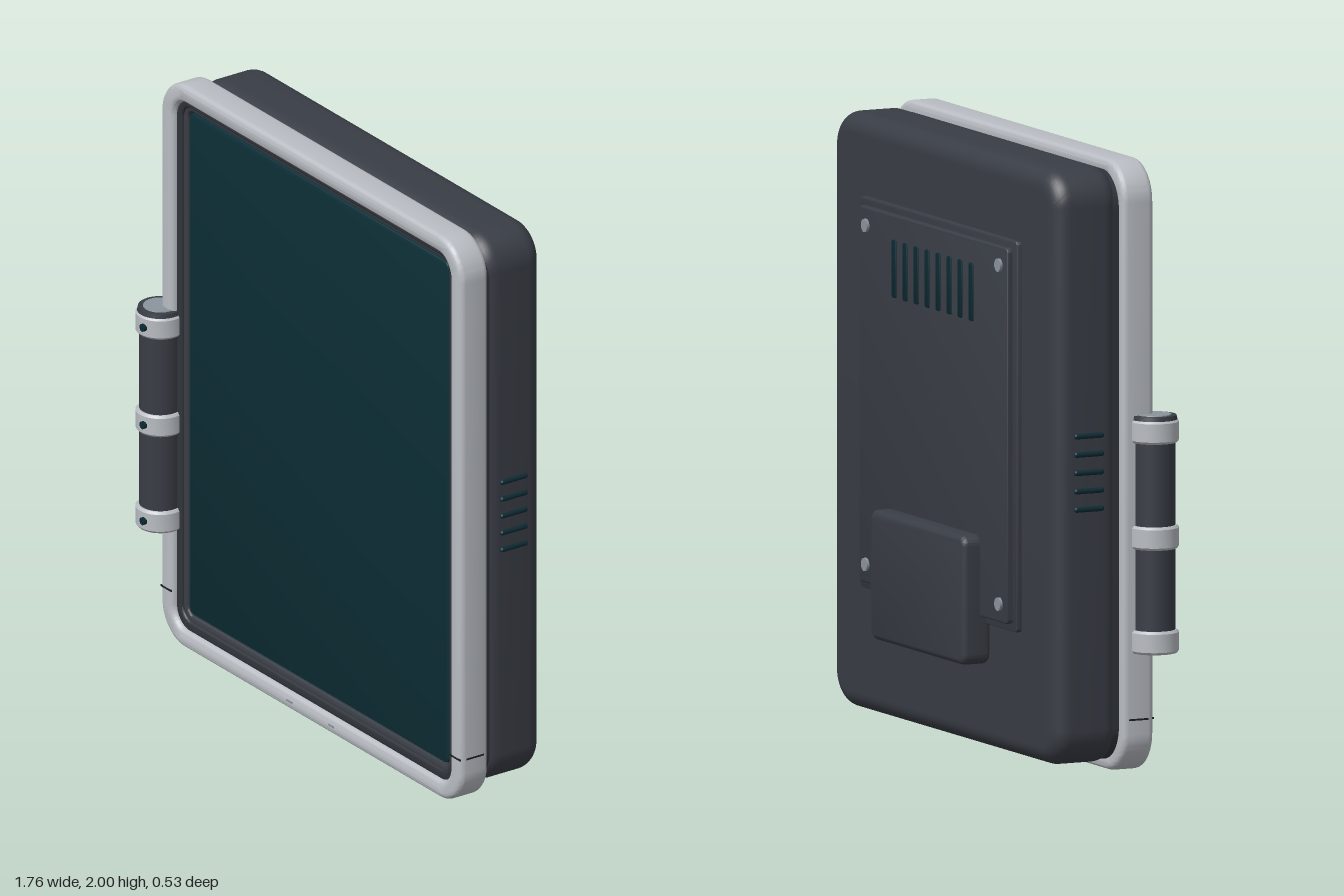
import * as THREE from 'three';
import { toCreasedNormals } from 'three/addons/utils/BufferGeometryUtils.js';

const CX = 0.04, CY = 1.0; // centre of the tablet

const mat = (name, color) => {
  const m = new THREE.MeshStandardMaterial({ color });
  m.name = name;
  return m;
};

function roundedRect(target, w, h, r) {
  const x = w / 2, y = h / 2;
  target.moveTo(x, -y + r);
  target.absarc(x - r, y - r, r, 0, Math.PI / 2);
  target.absarc(-x + r, y - r, r, Math.PI / 2, Math.PI);
  target.absarc(-x + r, -y + r, r, Math.PI, Math.PI * 1.5);
  target.absarc(x - r, -y + r, r, Math.PI * 1.5, Math.PI * 2);
  target.closePath();
  return target;
}

// Rounded slab of final size w x h between z0 and z1; hole = [w, h, r]
function slab(w, h, r, z0, z1, bevel, hole) {
  const b = bevel;
  const shape = roundedRect(new THREE.Shape(), w - 2 * b, h - 2 * b, Math.max(r - b, 0.004));
  if (hole) shape.holes.push(roundedRect(new THREE.Path(), hole[0] + 2 * b, hole[1] + 2 * b, hole[2] + b));
  const geo = new THREE.ExtrudeGeometry(shape, {
    depth: z1 - z0 - 2 * b, bevelEnabled: b > 0, bevelSize: b, bevelThickness: b,
    bevelSegments: b > 0.03 ? 8 : 4, curveSegments: 10,
  });
  geo.translate(0, 0, z0 + b);
  return toCreasedNormals(geo, 0.6);
}

export function createModel() {
  const group = new THREE.Group();
  const frameMat = mat('light grey frame', 0xb9bdc3);
  const bodyMat = mat('charcoal shell', 0x393d45);
  const bezelMat = mat('dark bezel', 0x30343a);
  const screenMat = mat('deep teal screen', 0x0d2f37);
  const slotMat = mat('dark teal slots', 0x0c2a32);
  const metalMat = mat('grey metal', 0x8b949c);
  const seamMat = mat('near black seam', 0x1c2024);

  const add = (name, geo, material, x = 0, y = 0, z = 0) => {
    const mesh = new THREE.Mesh(geo, material);
    mesh.name = name;
    mesh.position.set(x, y, z);
    group.add(mesh);
    return mesh;
  };

  // Shell, gasket and front frame
  add('rearShell', slab(1.64, 1.95, 0.12, -0.17, 0.066, 0.06), bodyMat, CX, CY + 0.005);
  add('gasket', slab(1.62, 1.93, 0.12, 0.03, 0.08, 0), bezelMat, CX, CY);
  add('frontFrame', slab(1.685, 2, 0.13, 0.063, 0.175, 0.02, [1.55, 1.88, 0.07]), frameMat, CX, CY);

  // Stepped bezel and screen
  add('outerBezel', slab(1.57, 1.9, 0.08, 0.07, 0.155, 0.008, [1.50, 1.83, 0.05]), bezelMat, CX, CY + 0.005);
  add('innerBezel', slab(1.53, 1.86, 0.06, 0.07, 0.145, 0.008, [1.462, 1.796, 0.03]), bodyMat, CX, CY + 0.005);
  add('screen', slab(1.45, 1.785, 0.025, 0.07, 0.142, 0.005), screenMat, CX, CY + 0.005);
  add('screenBacking', slab(1.5, 1.83, 0.04, 0.07, 0.125, 0), seamMat, CX, CY + 0.005);

  // Seams and small marks on the frame
  for (const s of [-1, 1]) {
    add('frameSeam', new THREE.BoxGeometry(0.06, 0.006, 0.004), seamMat, CX + s * 0.808, 0.178, 0.1745);
    add('frameSideSeam', new THREE.BoxGeometry(0.004, 0.006, 0.07), seamMat, CX + s * 0.8415, 0.178, 0.119);
    add('frameMark', new THREE.BoxGeometry(0.03, 0.006, 0.008), metalMat, CX + s * 0.117, 0.033, 0.174);
  }

  // Side vents
  for (const s of [-1, 1]) {
    for (let i = 0; i < 5; i++) {
      const vent = add('sideVent', new THREE.CapsuleGeometry(0.009, 0.09, 4, 8), slotMat,
        CX + s * 0.82, 0.875 + i * 0.06, -0.05);
      vent.rotation.x = Math.PI / 2;
    }
  }

  // Back service panel
  add('panelBase', slab(1.14, 1.28, 0.015, -0.187, -0.16, 0.004), bodyMat, CX, 1.085);
  add('panelCover', slab(1.08, 1.23, 0.015, -0.207, -0.18, 0.005), bodyMat, CX, 1.085);
  for (let i = 0; i < 8; i++) {
    add('backVent', slab(0.032, 0.19, 0.01, -0.211, -0.2, 0.002), slotMat, CX + (i - 3.5) * 0.08, 1.525);
  }
  for (const x of [-0.485, 0.485]) {
    for (const y of [0.53, 1.64]) {
      const screw = add('panelScrew', new THREE.CylinderGeometry(0.022, 0.022, 0.02, 20), metalMat, CX + x, y, -0.206);
      screw.rotation.x = Math.PI / 2;
    }
  }
  add('batteryBox', slab(0.685, 0.425, 0.035, -0.268, -0.165, 0.02), bodyMat, CX, 0.523);

  // Stylus holder with three clamp rings
  const hx = -0.8, hz = 0.175;
  add('holderTube', new THREE.CylinderGeometry(0.069, 0.069, 0.75, 40), bodyMat, hx, 0.785, hz);
  const ringProfile = [[0.05, -0.038], [0.074, -0.038], [0.081, -0.03], [0.081, 0.03], [0.074, 0.038], [0.05, 0.038]]
    .map(([x, y]) => new THREE.Vector2(x, y));
  for (const y of [0.433, 0.775, 1.122]) {
    add('clampRing', toCreasedNormals(new THREE.LatheGeometry(ringProfile, 40), 0.5), frameMat, hx, y, hz);
    const bolt = add('clampBolt', new THREE.CylinderGeometry(0.013, 0.013, 0.02, 16), slotMat, hx + 0.018, y, hz + 0.077);
    bolt.rotation.x = Math.PI / 2;
  }
  add('holderRim', new THREE.CylinderGeometry(0.073, 0.076, 0.014, 40), bodyMat, hx, 1.166, hz);
  add('holderCap', new THREE.CylinderGeometry(0.056, 0.06, 0.012, 40), metalMat, hx, 1.17, hz);

  return group;
}
